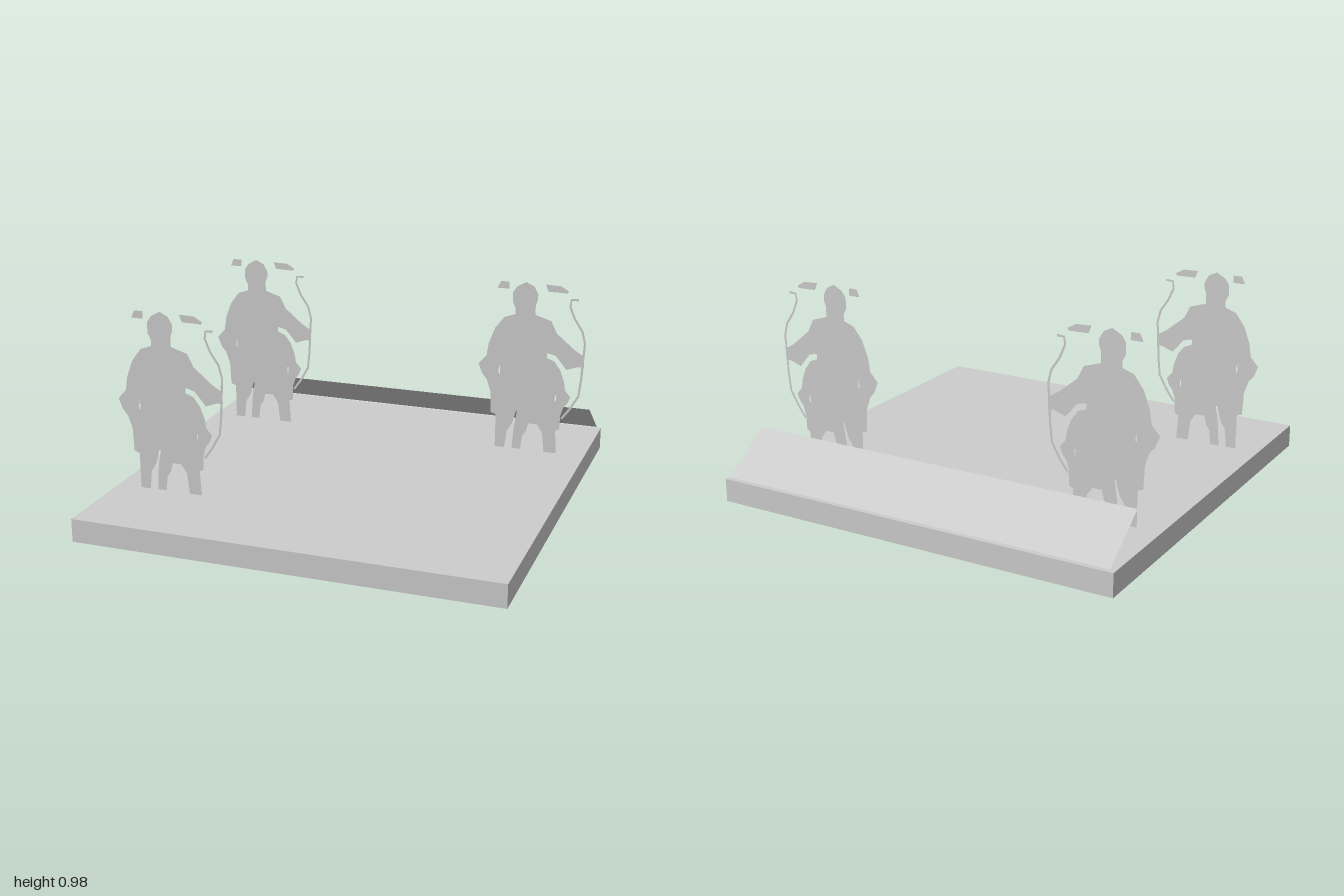
import * as THREE from 'three';

const BASE_TOP = 0.11;

// Flat shape from [x, y] pairs given in hundredths
function outline(points) {
  return points.map(([x, y]) => new THREE.Vector2(x / 100, y / 100));
}

// Thin curved strip of constant width following a path
function ribbon(points, width) {
  const left = [], right = [];
  points.forEach(([x, y], i) => {
    const a = points[Math.max(i - 1, 0)], b = points[Math.min(i + 1, points.length - 1)];
    const dx = b[0] - a[0], dy = b[1] - a[1], k = width / 2 / Math.hypot(dx, dy);
    left.push([x - dy * k, y + dx * k]);
    right.unshift([x + dy * k, y - dx * k]);
  });
  return [...left, ...right];
}

const BODY = [
  [9.6, 0], [9.6, 17], [7, 18], [6.5, 29], [4.5, 35], [2, 38], [0, 43], [4, 47.5], [5, 54],
  [8, 62], [12.5, 68], [18, 70], [18, 73], [16.5, 76], [16.5, 81], [18.5, 84], [23, 86.5],
  [27, 84.5], [29, 81], [29, 78], [28, 75.5], [28, 70.5], [36, 68], [39, 62], [48, 54.5],
  [53, 51.5], [53, 46], [50, 46], [44.5, 44], [39, 50.5], [33.7, 52], [34.5, 42], [37.5, 31.5],
  [40, 15.5], [41, 0], [34.8, 0], [33.7, 10], [31, 14], [29.5, 20], [20, 20], [18, 13],
  [15.5, 9], [14.5, 0],
];
const ELBOW_GAP = [[10, 43], [11, 43], [11.2, 38.5], [10.3, 39]];
const BOW = [
  [49, 79.6], [45.5, 79.4], [45, 76], [47.5, 70], [51.5, 64], [53, 58], [52.5, 50],
  [52, 40], [51, 31], [47, 24], [43, 18.5],
];
const HAT_LEFT = [[8.6, 82.5], [10.2, 86], [14.5, 86], [14.5, 82.5]];
const HAT_RIGHT = [[32.6, 86], [40, 85.8], [44, 83.5], [43.5, 82.4], [34, 82.6]];

// Fallen silhouette, as [x, z] pairs
const FALLEN = {
  fallenCloak: [[50, 33.5], [54, 34], [55, 37], [54.5, 41], [55, 44], [52, 48], [51, 52], [50, 52.5]],
  fallenBody: [
    [58, 36.5], [63, 36], [66, 39], [75, 40], [83, 39], [84, 43], [82, 46], [83, 52], [83, 56],
    [80, 57.5], [75, 59], [73, 63], [68, 63], [67, 59], [65, 54], [61, 52], [64, 45], [60, 42],
  ],
  fallenBow: ribbon([[69, 35.2], [76, 36.6], [84, 37.5], [88, 40], [92, 40.2]], 1.2),
  fallenFootLeft: [[64, 70], [69, 70], [68, 75], [66, 75], [66, 72.5]],
  fallenFootRight: [[78, 70], [80, 70], [79, 75], [76, 75]],
  fallenHand: [[81, 58], [83, 59], [82, 59.8]],
};

export function createModel() {
  const model = new THREE.Group();
  const stone = new THREE.MeshStandardMaterial({ color: 0xcccccc, side: THREE.DoubleSide });
  stone.name = 'light grey';

  const add = (parent, name, geometry) => {
    const mesh = new THREE.Mesh(geometry, stone);
    mesh.name = name;
    parent.add(mesh);
    return mesh;
  };

  // Square base
  add(model, 'base', new THREE.BoxGeometry(2, BASE_TOP, 2)).position.y = BASE_TOP / 2;

  // Sloping label board along the back edge
  const rise = 0.172, run = 0.24;
  const board = add(model, 'backBoard', new THREE.PlaneGeometry(1.96, Math.hypot(rise, run)));
  board.rotation.set(Math.atan2(run, rise), Math.PI, 0, 'YXZ');
  board.rotation.x = -Math.atan2(run, rise);
  board.position.set(0, 0.204, -0.87);

  // Cut-out archer parts, shared by every standing figure
  const bodyShape = new THREE.Shape(outline(BODY));
  bodyShape.holes.push(new THREE.Path(outline(ELBOW_GAP)));
  const parts = { body: new THREE.ShapeGeometry(bodyShape) };
  const flat = { bow: ribbon(BOW, 1.1), hatLeft: HAT_LEFT, hatRight: HAT_RIGHT };
  for (const [name, points] of Object.entries(flat)) {
    parts[name] = new THREE.ShapeGeometry(new THREE.Shape(outline(points)));
  }
  const makeArcher = (name) => {
    const archer = new THREE.Group();
    archer.name = name;
    for (const [part, geometry] of Object.entries(parts)) add(archer, part, geometry);
    model.add(archer);
    return archer;
  };

  // Three standing archers, each with a smaller one facing backwards
  for (const [x, z] of [[-0.98, 0.55], [-0.98, -0.55], [0.447, -0.55]]) {
    makeArcher('frontArcher').position.set(x, BASE_TOP, z);
    const back = makeArcher('backArcher');
    back.rotation.y = Math.PI;
    back.scale.setScalar(0.7);
    back.position.set(x + 0.47, BASE_TOP, z - 0.003);
  }

  // Fallen figure lying on the base
  for (const [name, points] of Object.entries(FALLEN)) {
    const shape = new THREE.Shape(outline(points.map(([x, z]) => [x, -z])));
    const mesh = add(model, name, new THREE.ShapeGeometry(shape));
    mesh.rotation.x = -Math.PI / 2;
    mesh.position.y = BASE_TOP + 0.002;
  }
  return model;
}
